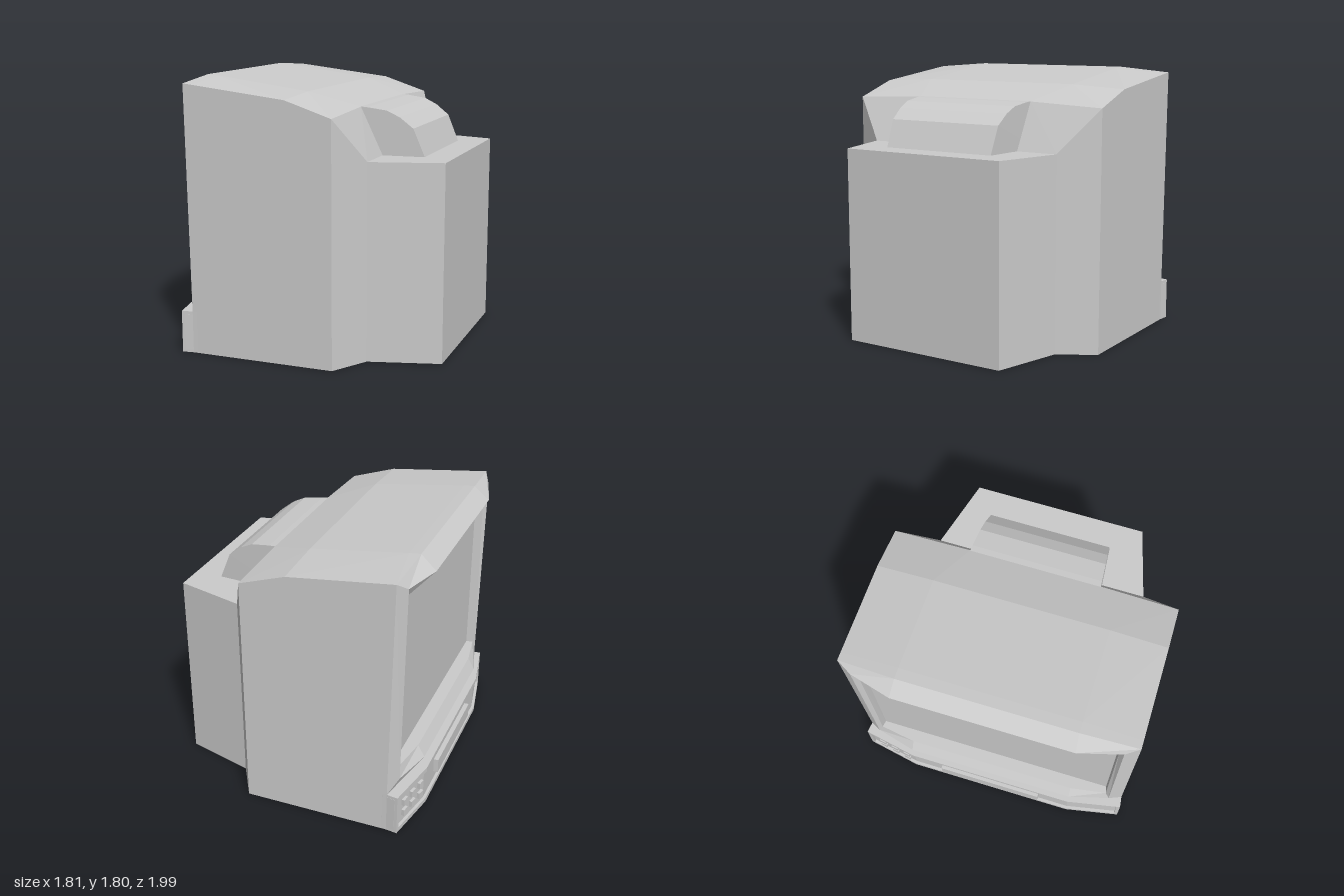
import * as THREE from 'three';
import { ConvexGeometry } from 'three/addons/geometries/ConvexGeometry.js';

const material = new THREE.MeshStandardMaterial({ color: 0xcccccc, flatShading: true });
const V = (x, y, z) => new THREE.Vector3(x, y, z);

function part(name, geometry) {
  const mesh = new THREE.Mesh(geometry, material);
  mesh.name = name;
  return mesh;
}

// Convex solid from the points of one half, mirrored across z
function mirroredHull(name, half) {
  const points = half.flatMap(([x, y, z]) => [V(x, y, z), V(x, y, -z)]);
  return part(name, new ConvexGeometry(points));
}

// Plan outline (x, z) raised from y0 to y1
function slab(name, plan, y0, y1) {
  const shape = new THREE.Shape(plan.map(([x, z]) => new THREE.Vector2(x, -z)));
  const geometry = new THREE.ExtrudeGeometry(shape, { depth: y1 - y0, bevelEnabled: false });
  geometry.rotateX(-Math.PI / 2).translate(0, y0, 0);
  return part(name, geometry);
}

function box(name, w, h, d, x, y, z, turn = 0) {
  const mesh = part(name, new THREE.BoxGeometry(w, h, d));
  mesh.position.set(x, y, z);
  mesh.rotation.y = turn;
  return mesh;
}

// One loop of the bezel from its [x, y, z] at top corner, top bend, low bend, low corner
function bezelLoop([topCorner, topBend, lowBend, lowCorner]) {
  const order = [[topCorner, 1], [topBend, 1], [topBend, -1], [topCorner, -1],
    [lowCorner, -1], [lowBend, -1], [lowBend, 1], [lowCorner, 1]];
  return order.map(([p, s]) => [p[0], p[1], p[2] * s]);
}

function geometryFromTriangles(triangles) {
  const geometry = new THREE.BufferGeometry();
  geometry.setAttribute('position', new THREE.Float32BufferAttribute(triangles, 3));
  geometry.computeVertexNormals();
  return geometry;
}

export function createModel() {
  const model = new THREE.Group();
  model.name = 'television';
  const set = new THREE.Group();
  set.name = 'televisionSet';
  model.add(set);

  // Cabinet with sloping roof and chamfered rear corners
  set.add(mirroredHull('cabinet', [
    [-0.69, 1.793, 0.58], [-0.69, 1.764, 0.958],
    [-0.05, 1.71, 0.58], [-0.05, 1.69, 0.958],
    [0.26, 1.61, 0.44], [0.26, 1.588, 0.958],
    [0.405, 1.3, 0.717], [0.405, 0, 0.717],
    [0.26, 0, 0.958], [-0.69, 0, 0.958],
  ]));

  // Lower rear housing
  set.add(slab('rearHousing', [[0.39, -0.717], [0.405, -0.717], [0.87, -0.587],
    [0.87, 0.587], [0.405, 0.717], [0.39, 0.717]], 0, 1.3));

  // Rounded hump over the picture tube
  set.add(mirroredHull('tubeHump', [
    [0.2, 1.3, 0.445], [0.2, 1.615, 0.445], [0.3, 1.608, 0.437], [0.43, 1.59, 0.427],
    [0.515, 1.55, 0.42], [0.605, 1.48, 0.413], [0.681, 1.3, 0.406],
  ]));

  // Bezel loops from the cabinet over the front ridge and in to the recessed glass
  const loops = [
    [[-0.69, 1.764, 0.958], [-0.69, 1.793, 0.58], [-0.69, 0.28, 0.59], [-0.69, 0.28, 0.958]],
    [[-0.745, 1.77, 0.958], [-0.765, 1.8, 0.58], [-0.78, 0.28, 0.59], [-0.72, 0.28, 0.958]],
    [[-0.79, 1.71, 0.87], [-0.866, 1.71, 0.59], [-0.846, 0.36, 0.59], [-0.773, 0.36, 0.87]],
    [[-0.765, 1.64, 0.84], [-0.8, 1.64, 0.59], [-0.8, 0.44, 0.59], [-0.76, 0.44, 0.84]],
    [[-0.715, 1.64, 0.83], [-0.715, 1.64, 0.59], [-0.715, 0.44, 0.59], [-0.715, 0.44, 0.83]],
  ].map(bezelLoop);
  const bezel = [];
  for (let r = 0; r < loops.length - 1; r++) {
    for (let i = 0; i < 8; i++) {
      const j = (i + 1) % 8;
      const a = loops[r], b = loops[r + 1];
      bezel.push(...a[i], ...a[j], ...b[j], ...a[i], ...b[j], ...b[i]);
    }
  }
  set.add(part('screenBezel', geometryFromTriangles(bezel)));

  // Flat glass
  const glass = [];
  const rim = loops[loops.length - 1];
  for (let i = 1; i < 7; i++) glass.push(...rim[0], ...rim[i], ...rim[i + 1]);
  set.add(part('screen', geometryFromTriangles(glass)));

  // Control panel: recessed face framed by rails and end stiles
  const plan = (inset) => [[-0.68, -0.957], [-0.72, -0.958], [-0.795 + inset, -0.968],
    [-0.868 + inset, -0.59], [-0.868 + inset, 0.59], [-0.795 + inset, 0.968],
    [-0.72, 0.958], [-0.68, 0.957]];
  set.add(slab('panelFace', plan(0.02), 0.02, 0.26));
  set.add(slab('panelBottomRail', plan(0), 0, 0.03));
  set.add(slab('panelTopRail', plan(0), 0.25, 0.28));
  for (const s of [-1, 1]) {
    set.add(slab('panelEndStile', [[-0.72, 0.958 * s], [-0.795, 0.968 * s],
      [-0.8, 0.942 * s], [-0.72, 0.942 * s]], 0.03, 0.25));
  }

  // Central flap and the six buttons on the angled end
  set.add(box('controlFlap', 0.06, 0.1, 0.74, -0.85, 0.14, 0));
  const slope = Math.atan2(0.073, 0.378);
  for (let col = 0; col < 3; col++) {
    for (const y of [0.1, 0.18]) {
      const z = -0.85 + col * 0.1;
      const x = -0.775 - (z + 0.968) * Math.tan(slope);
      set.add(box('button', 0.04, 0.045, 0.05, x, y, z, -slope));
    }
  }

  // The set stands slightly turned
  set.rotation.y = 0.067;
  set.position.set(-0.002, 0, -0.027);
  return model;
}
